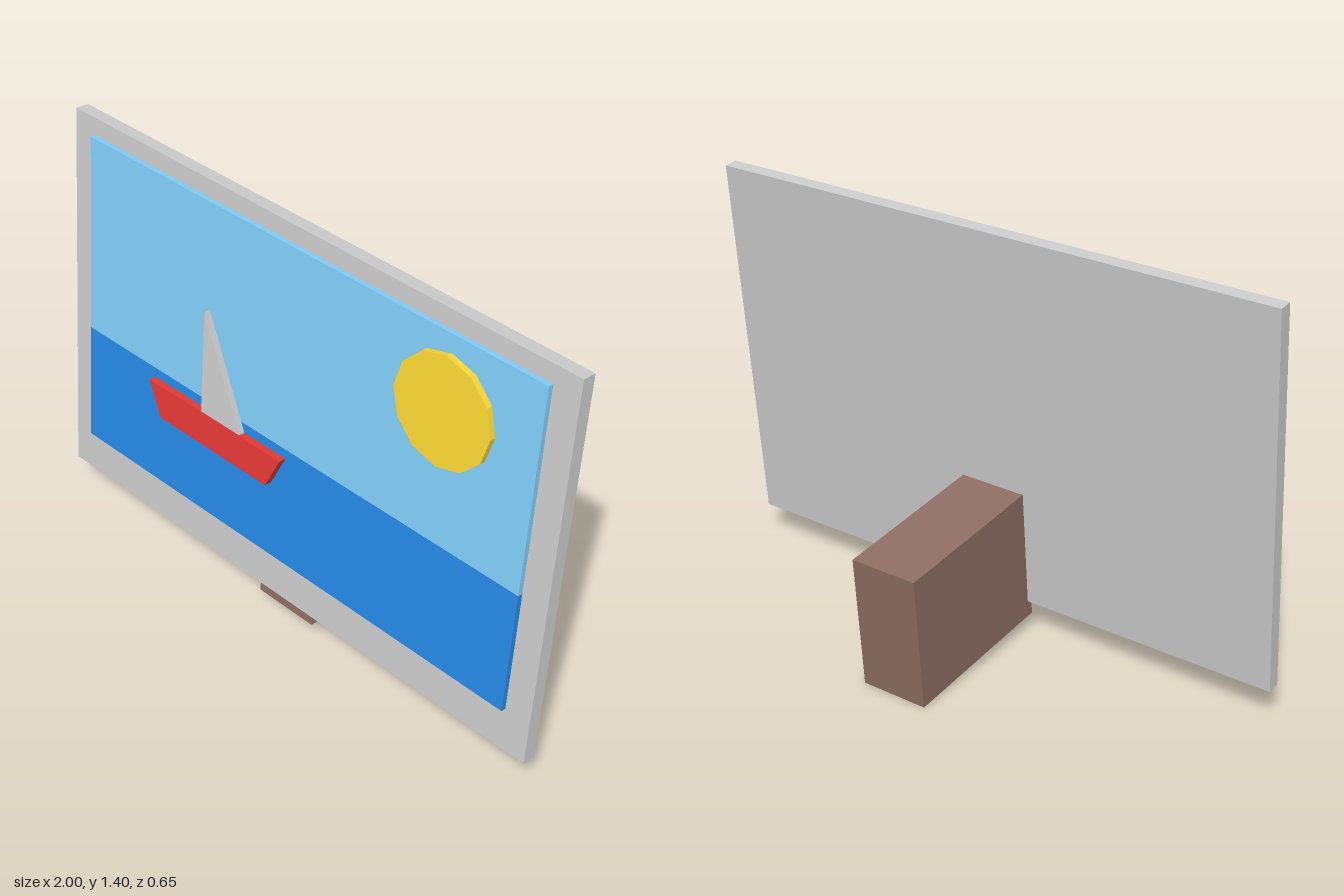
import * as THREE from 'three';

const mat = (color) => new THREE.MeshStandardMaterial({ color, flatShading: true });

// Box given by its half width and its y and z ranges in the tilted frame
function slab(name, color, halfW, y0, y1, z0, z1) {
  const mesh = new THREE.Mesh(new THREE.BoxGeometry(halfW * 2, y1 - y0, z1 - z0), mat(color));
  mesh.name = name;
  mesh.position.set(0, (y0 + y1) / 2, (z0 + z1) / 2);
  return mesh;
}

// Flat cut-out of an outline, extruded from z0 to z1
function cutout(name, color, points, z0, z1) {
  const shape = new THREE.Shape(points.map(([x, y]) => new THREE.Vector2(x, y)));
  const geo = new THREE.ExtrudeGeometry(shape, { depth: z1 - z0, bevelEnabled: false });
  const mesh = new THREE.Mesh(geo, mat(color));
  mesh.name = name;
  mesh.position.z = z0;
  return mesh;
}

export function createModel() {
  const model = new THREE.Group();
  model.name = 'standingPicture';

  // Everything leans back together
  const tilted = new THREE.Group();
  tilted.name = 'tiltedPicture';
  tilted.rotation.x = -0.1;
  model.add(tilted);

  // Frame board and the block it rests on
  tilted.add(slab('frame', 0xcccccc, 1, 0.088, 1.38, 0.287, 0.333));
  tilted.add(slab('standBlock', 0x8d6e63, 0.116, 0.031, 0.497, -0.277, 0.307));

  // Sky and sea panels, slightly proud of the frame
  tilted.add(slab('sky', 0x81cefa, 0.91, 0.648, 1.322, 0.32, 0.35));
  tilted.add(slab('sea', 0x2488e5, 0.91, 0.236, 0.648, 0.32, 0.35));

  // Twelve-sided sun
  const sun = new THREE.Mesh(new THREE.CylinderGeometry(0.176, 0.176, 0.03, 12), mat(0xfdd835));
  sun.name = 'sun';
  sun.rotation.x = Math.PI / 2;
  sun.position.set(0.587, 1.088, 0.355);
  tilted.add(sun);

  // Boat
  const boat = new THREE.Group();
  boat.name = 'boat';
  boat.add(cutout('hull', 0xe53935,
    [[-0.535, 0.501], [-0.055, 0.501], [0, 0.616], [-0.59, 0.616]], 0.345, 0.375));
  boat.add(cutout('sail', 0xcccccc,
    [[-0.352, 0.616], [-0.18, 0.616], [-0.352, 0.968]], 0.345, 0.372));
  tilted.add(boat);

  return model;
}
